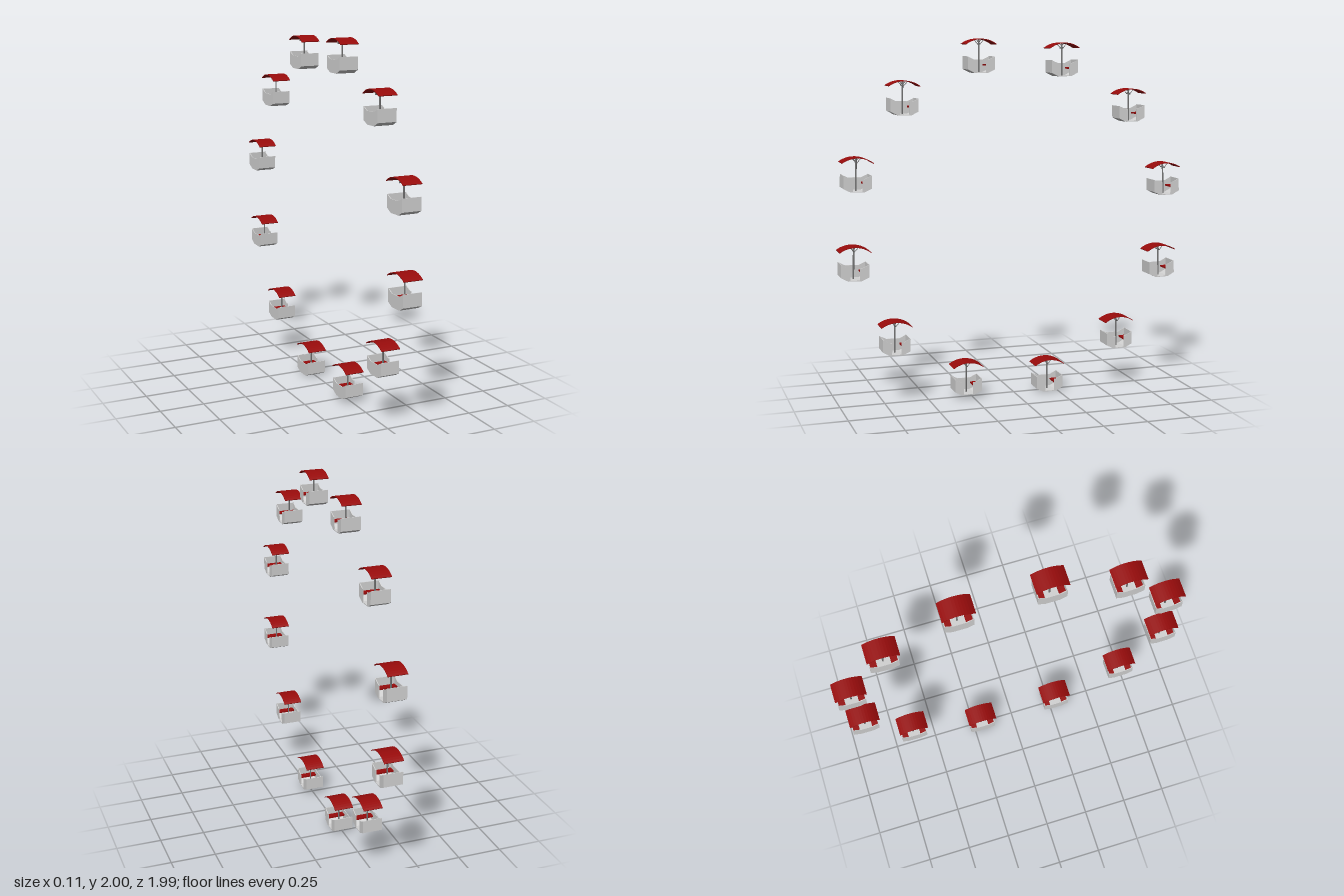
import * as THREE from 'three';

const mat = (name, color, side = THREE.FrontSide) => {
  const m = new THREE.MeshStandardMaterial({ color, side });
  m.name = name;
  return m;
};

// Extrude a (z, y) outline along x, centred on the given x
function extrudeX(points, width, x = 0) {
  const shape = new THREE.Shape(points.map(([z, y]) => new THREE.Vector2(z, y)));
  const g = new THREE.ExtrudeGeometry(shape, { depth: width, bevelEnabled: false });
  g.translate(0, 0, -width / 2);
  g.rotateY(-Math.PI / 2);
  g.translate(x, 0, 0);
  return g;
}

// Thin rod between two points
function rod(a, b, r) {
  const curve = new THREE.LineCurve3(new THREE.Vector3(...a), new THREE.Vector3(...b));
  return new THREE.TubeGeometry(curve, 1, r, 8);
}

export function createModel() {
  const red = mat('canopy red', 0x980b0b);
  const grey = mat('cabin grey', 0xd2d2d2);
  const steel = mat('pole steel', 0x777777, THREE.DoubleSide);

  const W = 0.108, T = 0.004; // cabin width and wall thickness
  const parts = [];
  const add = (name, geometry, material) => parts.push({ name, geometry, material });

  // Curved canopy: arc of span 0.174 and rise 0.028
  const R = 0.149, half = Math.asin(0.087 / R), arc = [];
  for (let i = 0; i <= 12; i++) {
    const a = -half + (2 * half * i) / 12;
    arc.push([R * Math.sin(a), R * Math.cos(a) - R]);
  }
  const inner = arc.map(([z, y]) => [z * 0.98, y - 0.003]).reverse();
  add('canopy', extrudeX([...arc, ...inner], W), red);

  // Hull: end walls, sloping bottom and floor in one folded strip
  add('hull', extrudeX([
    [-0.077, -0.095], [-0.077, -0.165], [-0.037, -0.185], [0.037, -0.185], [0.077, -0.165], [0.077, -0.095],
    [0.073, -0.095], [0.073, -0.163], [0.036, -0.181], [-0.036, -0.181], [-0.073, -0.163], [-0.073, -0.095],
  ], W), grey);

  // Closed side wall, and the other side with a doorway in the middle
  const sideX = W / 2 - T / 2;
  add('closedSide', extrudeX([
    [-0.077, -0.095], [-0.077, -0.165], [-0.037, -0.185], [0.037, -0.185],
    [0.077, -0.165], [0.077, -0.095], [0.037, -0.114], [-0.037, -0.114],
  ], T, -sideX), grey);
  for (const s of [-1, 1]) {
    const panel = [[0.077, -0.095], [0.037, -0.114], [0.026, -0.114], [0.026, -0.185], [0.037, -0.185], [0.077, -0.165]];
    add('doorSidePanel', extrudeX(panel.map(([z, y]) => [z * s, y]), T, sideX), grey);

    // Bench at each end
    const bench = new THREE.BoxGeometry(W - 2 * T, 0.008, 0.036);
    bench.translate(0, -0.142, s * 0.055);
    add('bench', bench, red);

    // Small struts under the canopy
    for (const x of [-0.024, 0.024])
      add('canopyStrut', rod([x, -0.029, 0], [x, -0.006, s * 0.02], 0.002), steel);
  }

  // Pole and hanger bar
  add('pole', rod([0, -0.182, 0], [0, -0.002, 0], 0.0045), steel);
  add('hangerBar', rod([-0.027, -0.029, 0], [0.027, -0.029, 0], 0.0035), steel);

  // Twelve cars around the wheel, each swinging slightly outwards
  const model = new THREE.Group();
  model.name = 'wheelCars';
  for (let i = 0; i < 12; i++) {
    const a = THREE.MathUtils.degToRad(12.4 + 30 * i);
    const car = new THREE.Group();
    car.name = 'car' + (i + 1);
    for (const p of parts) {
      const mesh = new THREE.Mesh(p.geometry, p.material);
      mesh.name = p.name;
      car.add(mesh);
    }
    car.position.set(0, 1.0925 + 0.929 * Math.cos(a), 0.929 * Math.sin(a));
    car.rotation.x = -0.03 * Math.sin(a);
    model.add(car);
  }
  return model;
}
